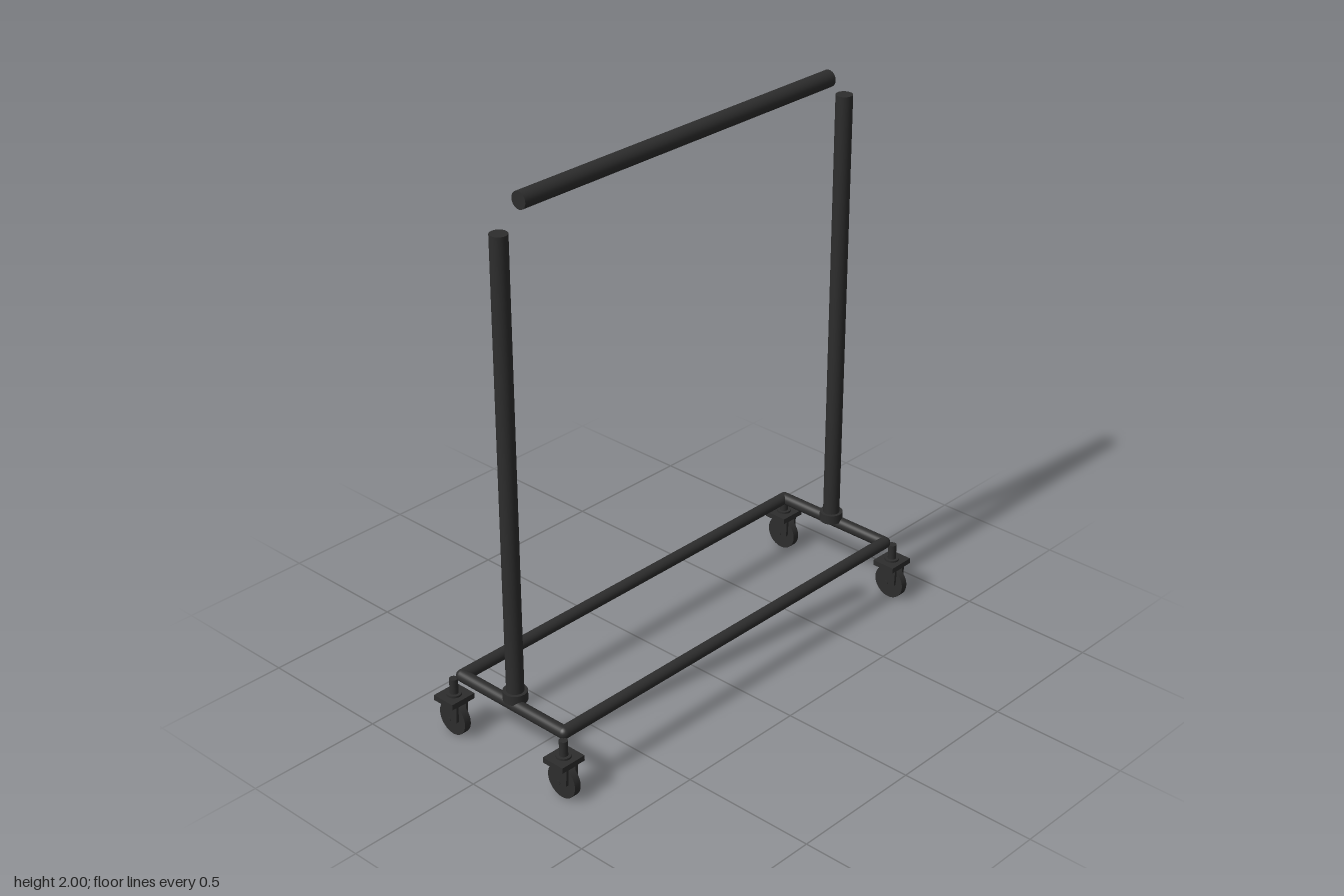
import * as THREE from 'three';

export function createModel() {
  const model = new THREE.Group();
  model.name = 'garmentRack';
  const steel = new THREE.MeshStandardMaterial({ color: 0x2d2d2d });
  steel.name = 'dark steel';

  const add = (parent, name, geometry, x = 0, y = 0, z = 0) => {
    const mesh = new THREE.Mesh(geometry, steel);
    mesh.name = name;
    mesh.position.set(x, y, z);
    parent.add(mesh);
    return mesh;
  };
  const rod = (radius, length, axis = 'y', sides = 32) => {
    const g = new THREE.CylinderGeometry(radius, radius, length, sides);
    if (axis === 'x') g.rotateZ(Math.PI / 2);
    if (axis === 'z') g.rotateX(Math.PI / 2);
    return g;
  };

  // Hanging bar, floating between the posts
  add(model, 'hangingBar', rod(0.03, 1.43, 'x'), 0, 1.97, 0);

  // Base frame
  const railY = 0.224, railX = 0.815, railZ = 0.24, railR = 0.022;
  for (const s of [-1, 1]) {
    add(model, 'longRail', rod(railR, railX * 2, 'x'), 0, railY, s * railZ);
    add(model, 'endRail', rod(railR, railZ * 2, 'z'), s * railX, railY, 0);
    for (const t of [-1, 1]) {
      add(model, 'railCorner', new THREE.SphereGeometry(railR, 24, 16), s * railX, railY, t * railZ);
    }
    // Uprights in their collars
    add(model, 'post', rod(0.03, 1.66), s * 0.8, 1.06, 0);
    add(model, 'postCollar', rod(0.042, 0.035), s * 0.8, 0.252, 0);
  }

  // Fork cheek outline: wide at the top, rounded around the axle
  const cheek = new THREE.Shape();
  cheek.moveTo(-0.038, 0.07);
  cheek.lineTo(-0.035, 0.0);
  cheek.quadraticCurveTo(-0.025, -0.016, 0, -0.016);
  cheek.quadraticCurveTo(0.025, -0.016, 0.035, 0.0);
  cheek.lineTo(0.038, 0.07);
  cheek.closePath();
  const cheekGeometry = new THREE.ExtrudeGeometry(cheek, { depth: 0.01, bevelEnabled: false });
  cheekGeometry.translate(0, 0, -0.005).rotateY(Math.PI / 2);

  // Swivel casters at the four corners
  for (const sx of [-1, 1]) for (const sz of [-1, 1]) {
    const caster = new THREE.Group();
    caster.name = 'caster';
    caster.position.set(sx * 0.838, 0, sz * 0.26);
    add(caster, 'stem', rod(0.015, 0.075, 'y', 20), 0, 0.1775, 0);
    add(caster, 'mountPlate', new THREE.BoxGeometry(0.1, 0.02, 0.09), 0, 0.142, 0);
    add(caster, 'plateBoss', rod(0.026, 0.008, 'y', 24), 0, 0.155, 0);
    add(caster, 'forkCrown', new THREE.BoxGeometry(0.052, 0.012, 0.076), 0, 0.13, 0);
    for (const s of [-1, 1]) add(caster, 'forkCheek', cheekGeometry, s * 0.021, 0.065, 0);
    add(caster, 'axle', rod(0.008, 0.056, 'x', 16), 0, 0.064, 0);
    add(caster, 'wheel', rod(0.062, 0.026, 'x', 40), 0, 0.062, 0);
    model.add(caster);
  }
  return model;
}
